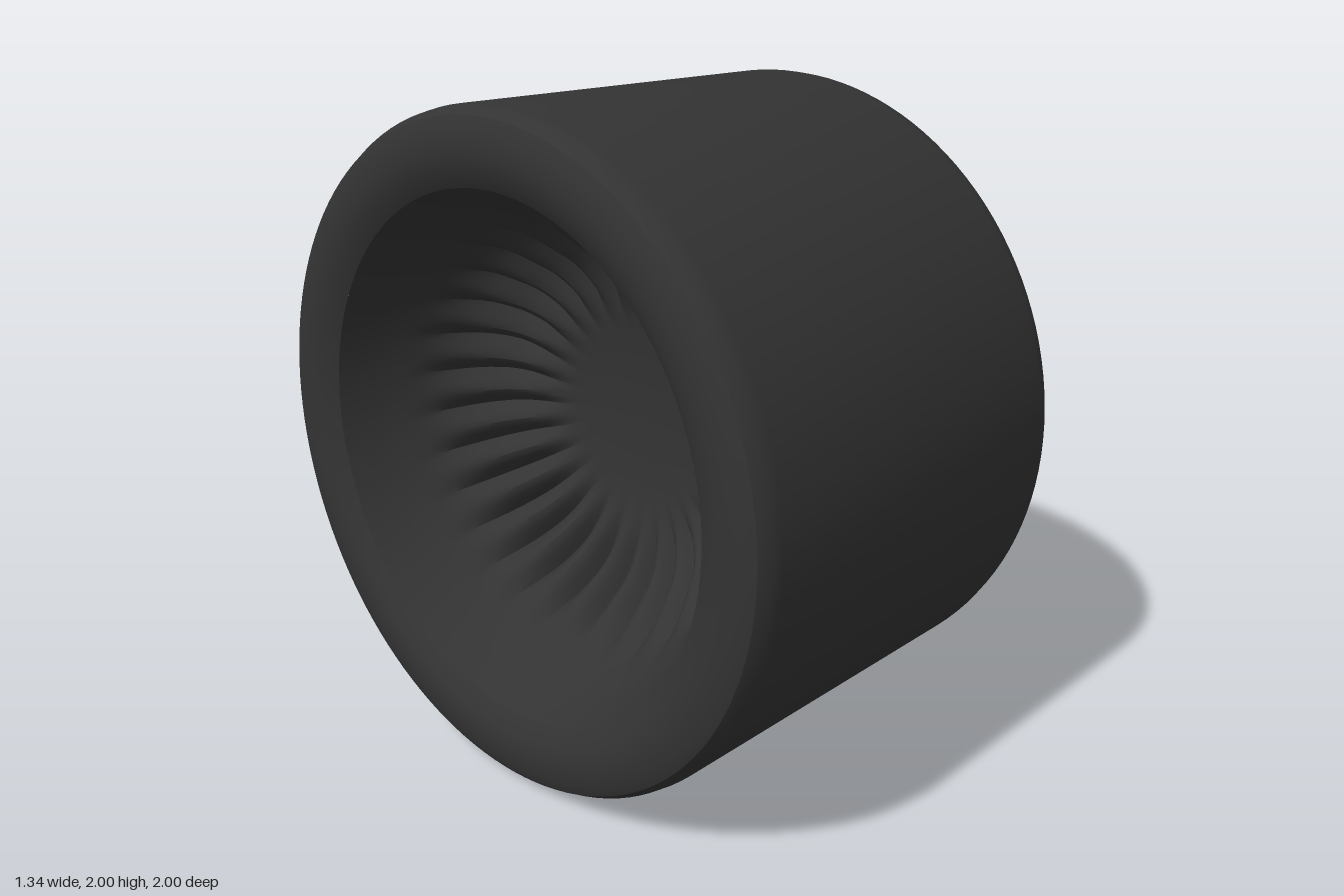
import * as THREE from 'three';
import { mergeVertices, toCreasedNormals } from 'three/addons/utils/BufferGeometryUtils.js';

const FLUTES = 30;
const material = new THREE.MeshStandardMaterial({ color: 0x333333 });
const toPoints = (list) => list.map(([r, y]) => new THREE.Vector2(r, y));

// Solid outer body: tread, rounded shoulders, flat side faces and bevelled lips
function bodyGeometry() {
  const side = [[1, 0.59], [0.994, 0.625], [0.975, 0.655], [0.94, 0.67], [0.88, 0.672],
    [0.83, 0.665], [0.78, 0.635]];
  const other = side.map(([r, y]) => [r, -y]).reverse();
  const geometry = new THREE.LatheGeometry(toPoints([...other, ...side]), 128);
  return toCreasedNormals(geometry, 0.5);
}

// Deep bowl with rounded flutes that fade out towards the lip and the centre
function dishGeometry() {
  const curve = new THREE.SplineCurve(toPoints([[0.78, 0.635], [0.755, 0.57], [0.72, 0.49],
    [0.65, 0.36], [0.58, 0.23], [0.5, 0.135], [0.38, 0.085], [0.2, 0.055], [0, 0.045]]));
  const profile = curve.getPoints(32);
  profile[profile.length - 1].x = 0;
  let geometry = new THREE.LatheGeometry(profile, FLUTES * 8);
  const p = geometry.attributes.position;
  for (let i = 0; i < p.count; i++) {
    const x = p.getX(i), z = p.getZ(i), r = Math.hypot(x, z);
    const fade = THREE.MathUtils.smoothstep(r, 0.28, 0.52) * (1 - THREE.MathUtils.smoothstep(r, 0.56, 0.69));
    if (fade === 0) continue;
    const lobe = Math.abs(Math.cos(Math.atan2(x, z) * FLUTES / 2)) - 0.5;
    const k = 1 - 0.045 * fade * lobe / r;
    p.setXYZ(i, x * k, p.getY(i) + 0.04 * fade * lobe, z * k);
  }
  geometry.deleteAttribute('uv');
  geometry.deleteAttribute('normal');
  geometry = mergeVertices(geometry, 1e-5);
  return toCreasedNormals(geometry, 0.6);
}

export function createModel() {
  const wheel = new THREE.Group();
  wheel.name = 'wheel';

  const body = new THREE.Mesh(bodyGeometry(), material);
  body.name = 'tread';
  body.rotation.z = -Math.PI / 2;
  wheel.add(body);

  // The same fluted dish on both sides
  const dish = dishGeometry();
  for (const [name, turn] of [['leftDish', -1], ['rightDish', 1]]) {
    const mesh = new THREE.Mesh(dish, material);
    mesh.name = name;
    mesh.rotation.z = turn * Math.PI / 2;
    wheel.add(mesh);
  }

  wheel.position.y = 1;
  const model = new THREE.Group();
  model.add(wheel);
  return model;
}
